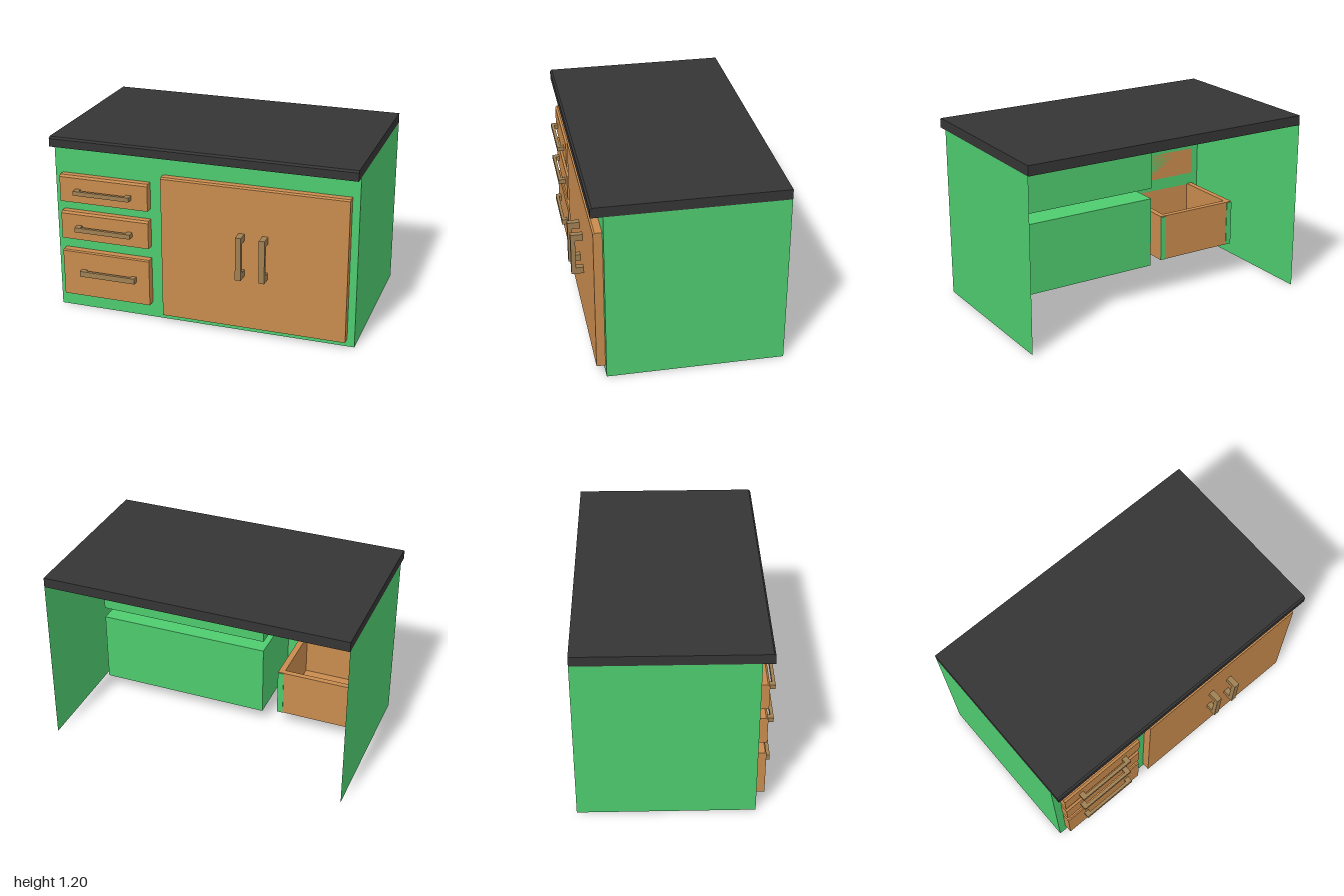
import * as THREE from 'three';

const mat = (color, side = THREE.FrontSide) => new THREE.MeshStandardMaterial({ color, side, flatShading: true });
const green = mat(0x4ecb6e, THREE.DoubleSide);
const wood = mat(0xc88b4e);
const dark = mat(0x353535);
const bronze = mat(0xa08053);

const FRONT = 0.495, BACK = -0.625, TOP = 1.13, FACE = 0.55;

export function createModel() {
  const root = new THREE.Group();

  const add = (name, geometry, material, parent = root) => {
    const mesh = new THREE.Mesh(geometry, material);
    mesh.name = name;
    parent.add(mesh);
    return mesh;
  };

  // Box given by its limits on each axis
  const box = (name, [x0, x1], [y0, y1], [z0, z1], material, parent) => {
    const g = new THREE.BoxGeometry(x1 - x0, y1 - y0, z1 - z0);
    g.translate((x0 + x1) / 2, (y0 + y1) / 2, (z0 + z1) / 2);
    return add(name, g, material, parent);
  };

  // Slab whose upper front edge is chamfered: a (z, y) profile swept along x
  const slab = (name, [x0, x1], [y0, y1], [z0, z1], c, material) => {
    const s = new THREE.Shape([[z0, y0], [z1, y0], [z1, y1 - c], [z1 - c, y1], [z0, y1]]
      .map(([z, y]) => new THREE.Vector2(-z, y)));
    const g = new THREE.ExtrudeGeometry(s, { depth: x1 - x0, bevelEnabled: false });
    g.rotateY(Math.PI / 2);
    g.translate(x0, 0, 0);
    return add(name, g, material);
  };

  // Rectangle path for the face frame
  const rect = (Type, [x0, x1], [y0, y1]) =>
    new Type([[x0, y0], [x1, y0], [x1, y1], [x0, y1]].map(p => new THREE.Vector2(...p)));

  // Worktop
  slab('worktop', [-1, 1], [TOP, 1.195], [BACK, 0.57], 0.012, dark);

  // Thin side panels
  for (const [x, name] of [[1, 'leftPanel'], [-1, 'rightPanel']]) {
    const g = new THREE.PlaneGeometry(FRONT - BACK, TOP);
    g.rotateY(Math.PI / 2);
    g.translate(x, TOP / 2, (FRONT + BACK) / 2);
    add(name, g, green);
  }

  // Face frame, open behind the doors and the deep drawer
  const frame = rect(THREE.Shape, [-1, 1], [0, TOP]);
  frame.holes.push(rect(THREE.Path, [-0.25, 0.945], [0.055, 0.965]));
  frame.holes.push(rect(THREE.Path, [-0.94, -0.355], [0.115, 0.41]));
  const frameGeo = new THREE.ShapeGeometry(frame);
  frameGeo.translate(0, 0, FRONT);
  add('faceFrame', frameGeo, green);

  // Two compartments behind the doors
  box('lowerCompartment', [-0.25, 0.91], [0.095, 0.582], [-0.02, FRONT - 0.002], green);
  box('upperCompartment', [-0.25, 0.91], [0.655, 0.962], [-0.02, FRONT - 0.002], green);

  // Pair of doors
  slab('rightDoor', [-0.258, 0.346], [0.05, 1.0], [FRONT, FACE], 0.01, wood);
  slab('leftDoor', [0.346, 0.952], [0.05, 1.0], [FRONT, FACE], 0.01, wood);

  // Upright door handles
  for (const [x0, x1] of [[0.257, 0.295], [0.41, 0.447]]) {
    const handle = new THREE.Group();
    handle.name = 'doorHandle';
    root.add(handle);
    box('grip', [x0, x1], [0.41, 0.695], [0.598, 0.627], bronze, handle);
    for (const y of [0.41, 0.651])
      box('post', [x0, x1], [y, y + 0.044], [FACE, 0.598], bronze, handle);
  }

  // Drawer fronts with level handles: [front y range, chamfer, handle x, handle y, reach]
  const drawers = [
    [[0.76, 0.94], 0.013, [-0.84, -0.457], [0.826, 0.855], 0.596],
    [[0.503, 0.69], 0.013, [-0.84, -0.457], [0.573, 0.604], 0.596],
    [[0.105, 0.42], 0.008, [-0.82, -0.438], [0.257, 0.294], 0.587],
  ];
  for (const [ys, chamfer, [hx0, hx1], hy, reach] of drawers) {
    slab('drawerFront', [-0.95, -0.348], ys, [FRONT, FACE], chamfer, wood);
    const handle = new THREE.Group();
    handle.name = 'drawerHandle';
    root.add(handle);
    box('grip', [hx0, hx1], hy, [reach - 0.02, reach], bronze, handle);
    for (const x of [hx0, hx1 - 0.035])
      box('post', [x, x + 0.035], hy, [FACE, reach - 0.02], bronze, handle);
  }

  // Open-topped box of the deep drawer, with green ends on its sides
  const tray = new THREE.Group();
  tray.name = 'drawerBox';
  root.add(tray);
  for (const x of [-0.95, -0.388]) {
    box('drawerSide', [x, x + 0.04], [0.105, 0.425], [0.005, FRONT - 0.002], wood, tray);
    box('sideEnd', [x, x + 0.04], [0.105, 0.42], [0, 0.005], green, tray);
  }
  box('drawerBack', [-0.91, -0.388], [0.105, 0.425], [0.003, 0.04], wood, tray);
  box('drawerBottom', [-0.91, -0.388], [0.12, 0.14], [0.04, FRONT - 0.002], wood, tray);
  // Green edging under the drawer bottom
  box('frontEdging', [-0.91, -0.388], [0.108, 0.12], [0.445, 0.46], green, tray);
  box('sideEdging', [-0.91, -0.895], [0.108, 0.12], [0.04, 0.445], green, tray);

  return root;
}
